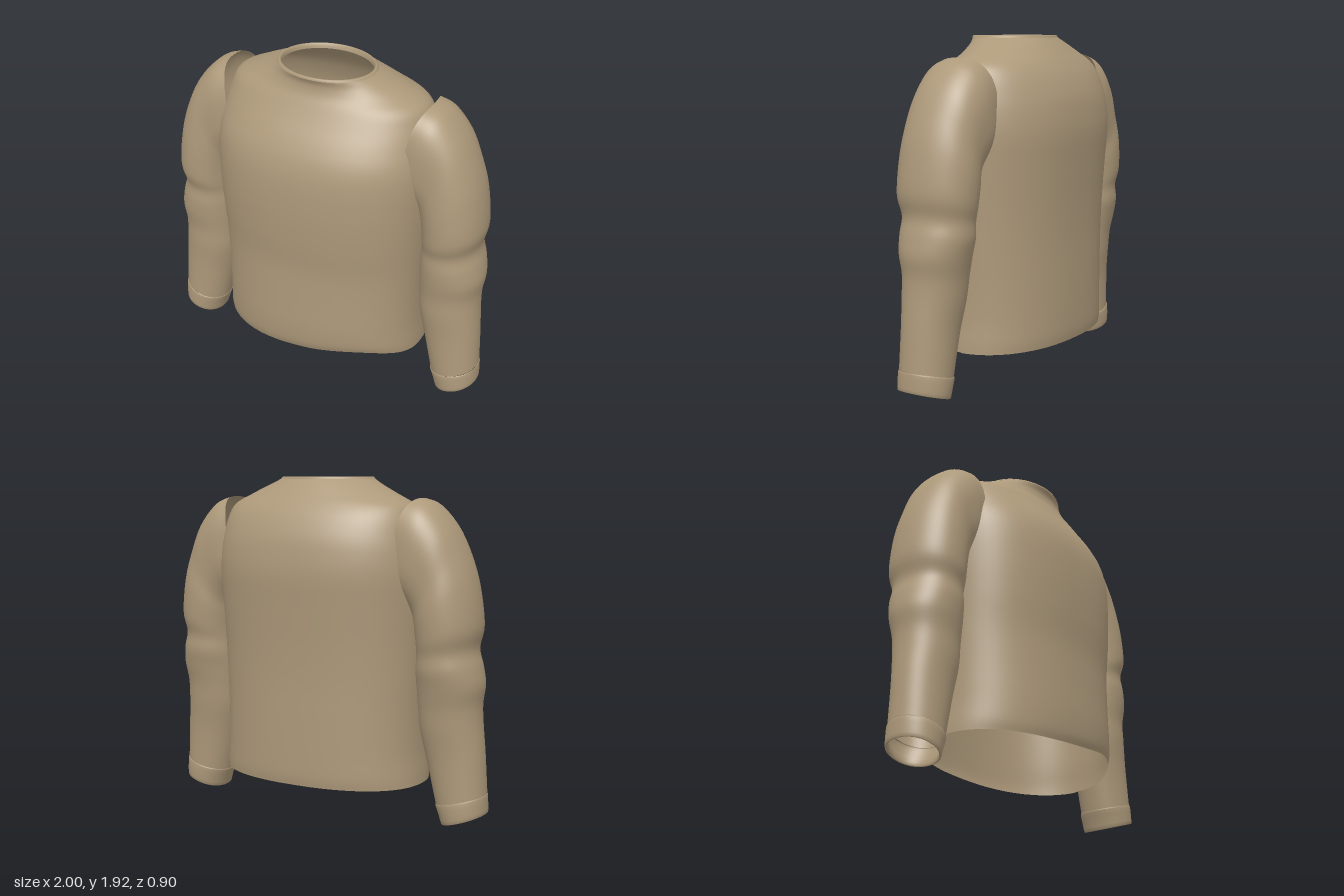
import * as THREE from 'three';

const SEG = 64;

// Catmull-Rom blend of whole cross-sections, so few rings give a smooth cloth surface
function sampleRings(rings, steps) {
  const out = [];
  const at = (i) => rings[Math.min(Math.max(i, 0), rings.length - 1)];
  for (let i = 0; i < rings.length - 1; i++) {
    for (let s = 0; s < steps; s++) {
      const t = s / steps;
      out.push(at(i).map((p1, k) => {
        const p0 = at(i - 1)[k], p2 = at(i + 1)[k], p3 = at(i + 2)[k];
        return p1 + 0.5 * t * (p2 - p0 + t * (2 * p0 - 5 * p1 + 4 * p2 - p3 + t * (3 * (p1 - p2) + p3 - p0)));
      }));
    }
  }
  out.push(rings[rings.length - 1]);
  return out;
}

// Ring: [inner x, inner y, outer x, outer y, front z, back z, roundness exponent, inward dip of the sides]
function loft(rings, steps, mirror = 1, warp = null) {
  const sections = sampleRings(rings, steps);
  const pos = [], index = [];
  const p = new THREE.Vector3();
  for (const [xi, yi, xo, yo, zf, zb, n, dip] of sections) {
    for (let j = 0; j < SEG; j++) {
      const a = (j / SEG) * Math.PI * 2;
      const c = Math.cos(a), s = Math.sin(a);
      const u = Math.sign(c) * Math.abs(c) ** (2 / n);
      const v = Math.sign(s) * Math.abs(s) ** (2 / n);
      p.set(
        (xi + xo) / 2 + (u * (xo - xi)) / 2 - dip * v * v,
        (yi + yo) / 2 + (u * (yo - yi)) / 2,
        (zf + zb) / 2 + (v * (zf - zb)) / 2
      );
      if (warp) warp(p, a);
      pos.push(p.x * mirror, p.y, p.z);
    }
  }
  for (let i = 0; i < sections.length - 1; i++) {
    for (let j = 0; j < SEG; j++) {
      const a = i * SEG + j, b = i * SEG + ((j + 1) % SEG);
      const c = a + SEG, d = b + SEG;
      if (mirror > 0) index.push(a, b, c, b, d, c);
      else index.push(a, c, b, b, c, d);
    }
  }
  const geo = new THREE.BufferGeometry();
  geo.setAttribute('position', new THREE.Float32BufferAttribute(pos, 3));
  geo.setIndex(index);
  geo.computeVertexNormals();
  return geo;
}

// Level, symmetric ring for the torso
const level = (y, w, zf, zb, n) => [-w, y, w, y, zf, zb, n, 0];

// The hem lifts a little at the left front
function liftHem(p, angle) {
  const d = (angle - 0.96) / 0.61;
  const fade = Math.max(0, 1 - (p.y - 0.21) / 0.35);
  p.y += 0.07 * Math.exp(-d * d) * fade;
}

export function createModel() {
  const group = new THREE.Group();
  const cloth = new THREE.MeshStandardMaterial({ color: 0xad997a, side: THREE.DoubleSide });
  cloth.name = 'tan cloth';

  const add = (name, geo) => {
    const mesh = new THREE.Mesh(geo, cloth);
    mesh.name = name;
    group.add(mesh);
  };

  // Torso from neck to hem
  add('torso', loft([
    level(1.912, 0.28, 0.235, -0.208, 2),
    level(1.875, 0.355, 0.222, -0.245, 2),
    level(1.825, 0.46, 0.232, -0.29, 2),
    level(1.77, 0.56, 0.262, -0.335, 2.1),
    level(1.7, 0.595, 0.305, -0.38, 2.2),
    level(1.6, 0.62, 0.37, -0.42, 2.25),
    level(1.5, 0.637, 0.417, -0.438, 2.3),
    level(1.38, 0.645, 0.443, -0.445, 2.3),
    level(1.2, 0.64, 0.45, -0.432, 2.3),
    level(1.0, 0.63, 0.442, -0.418, 2.3),
    level(0.8, 0.62, 0.426, -0.41, 2.3),
    level(0.6, 0.612, 0.428, -0.41, 2.3),
    level(0.4, 0.612, 0.432, -0.41, 2.3),
    level(0.27, 0.62, 0.425, -0.408, 2.3),
    level(0.21, 0.622, 0.41, -0.4, 2.3),
  ], 5, 1, liftHem));

  // Narrow rim folded into the neck opening
  add('neckRim', loft([
    level(1.895, 0.258, 0.212, -0.19, 2),
    level(1.92, 0.262, 0.222, -0.198, 2),
    level(1.921, 0.275, 0.234, -0.206, 2),
    level(1.91, 0.284, 0.238, -0.21, 2),
  ], 2));

  // Sleeves with raised shoulder caps and elbow folds
  const sleeve = [
    [0.56, 1.28, 0.615, 1.808, 0.19, -0.23, 2.7, 0.05],
    [0.58, 1.24, 0.7, 1.775, 0.2, -0.242, 2.6, 0.025],
    [0.59, 1.19, 0.8, 1.665, 0.2, -0.238, 2.4, 0],
    [0.6, 1.14, 0.875, 1.52, 0.21, -0.235, 2.2, 0],
    [0.605, 1.08, 0.93, 1.35, 0.218, -0.243, 2.1, 0],
    [0.61, 1.01, 0.96, 1.13, 0.217, -0.235, 2.1, 0],
    [0.61, 0.95, 0.94, 1.0, 0.195, -0.215, 2.1, 0],
    [0.605, 0.87, 0.963, 0.9, 0.2, -0.215, 2.1, 0],
    [0.605, 0.78, 0.978, 0.8, 0.195, -0.195, 2.1, 0],
    [0.61, 0.66, 0.965, 0.69, 0.18, -0.17, 2.1, 0],
    [0.62, 0.53, 0.968, 0.58, 0.178, -0.155, 2.1, 0],
    [0.66, 0.35, 0.982, 0.42, 0.168, -0.132, 2.1, 0],
    [0.715, 0.11, 0.995, 0.19, 0.168, -0.12, 2.1, 0],
  ];
  // Cuff band with a small turned-in lip
  const cuff = [
    [0.715, 0.112, 0.994, 0.186, 0.168, -0.12, 2.1, 0],
    [0.713, 0.105, 0.998, 0.18, 0.174, -0.126, 2.1, 0],
    [0.735, 0.05, 1.0, 0.125, 0.174, -0.125, 2.1, 0],
    [0.75, 0.002, 1.0, 0.08, 0.172, -0.12, 2.1, 0],
    [0.76, 0.005, 0.988, 0.083, 0.16, -0.108, 2.1, 0],
    [0.753, 0.035, 0.986, 0.11, 0.16, -0.108, 2.1, 0],
  ];
  for (const [side, m] of [['left', 1], ['right', -1]]) {
    add(side + 'Sleeve', loft(sleeve, 5, m));
    add(side + 'Cuff', loft(cuff, 2, m));
  }
  return group;
}
